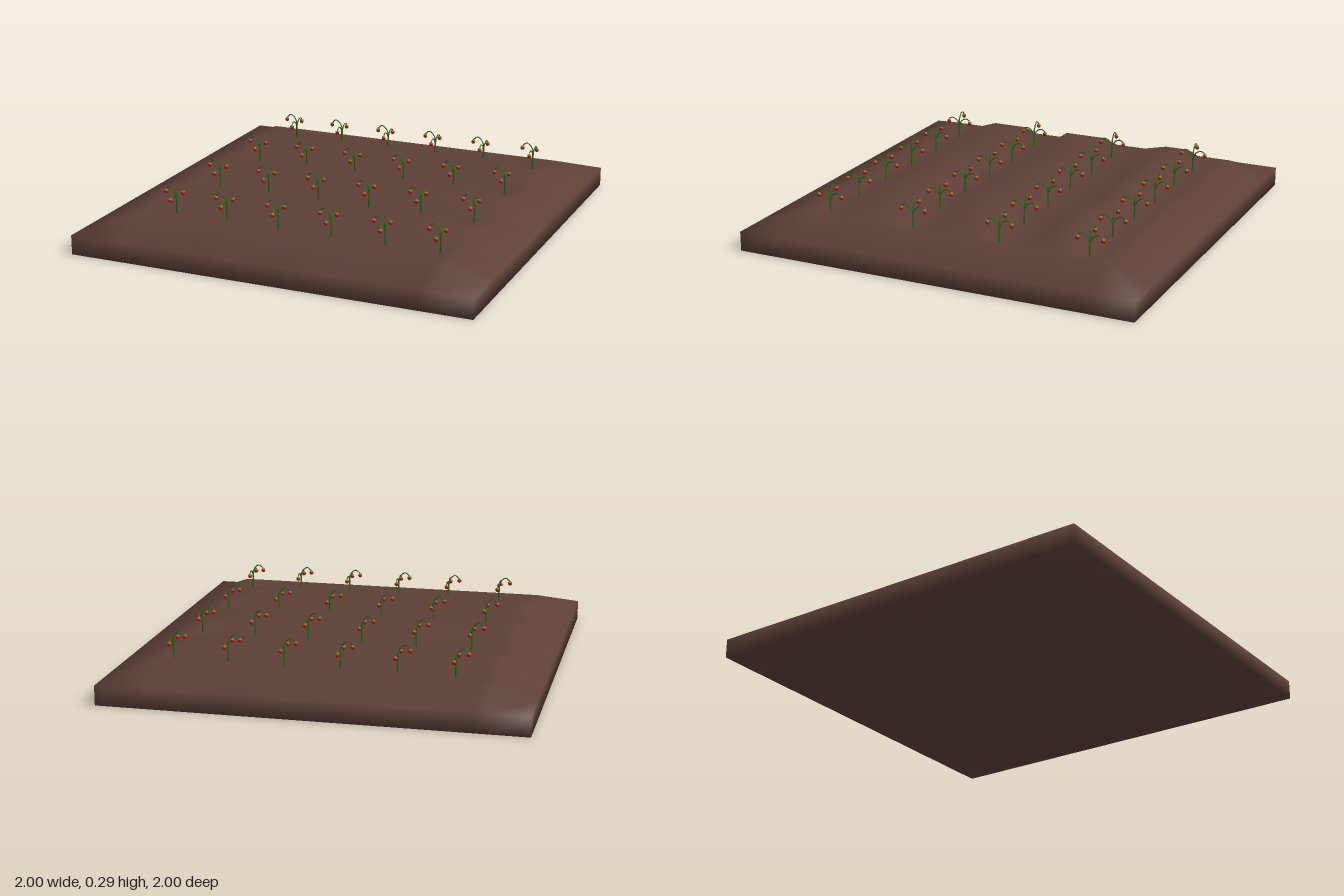
import * as THREE from 'three';
import { mergeVertices } from 'three/addons/utils/BufferGeometryUtils.js';

const mat = (color) => new THREE.MeshStandardMaterial({ color });
const V = (x, y, z) => new THREE.Vector3(x, y, z);

// Grid lines of the soil bed; each ridge is foot, crest, crest, foot
const XS = [-1, -0.8, -0.75, -0.58, -0.35, -0.24, -0.1, 0.1, 0.2, 0.33, 0.58, 0.75, 0.8, 1];
const CREST = [0.09, 0.195, 0.195, 0.197, 0.21, 0.2, 0.205, 0.21, 0.2, 0.21, 0.21, 0.18, 0.17, 0.09];
const RIM = 0.168, FURROW = 0.15, EDGE = 0.095;
const ROWS = [
  [-1, 'edge'], [-0.8, 'rim'], [-0.74, 'foot'],
  [-0.63, 'foot'], [-0.57, 'crest'], [-0.45, 'crest'], [-0.34, 'foot'],
  [-0.16, 'foot'], [-0.11, 'crest'], [0.1, 'crest'], [0.15, 'foot'],
  [0.31, 'foot'], [0.36, 'crest'], [0.55, 'crest'], [0.62, 'foot'],
  [0.74, 'foot'], [0.8, 'rim'], [1, 'edge'],
];

function soilHeight(i, kind) {
  if (kind === 'edge' || i === 0 || i === XS.length - 1) return EDGE;
  if (kind === 'rim') return RIM;
  if (kind === 'crest') return CREST[i];
  return i === 1 || i === XS.length - 2 ? RIM : FURROW;
}

// Soil bed: a box whose vertices are moved onto the ridged grid, smoothly shaded
function soilGeometry() {
  const nx = XS.length - 1, nz = ROWS.length - 1;
  const box = new THREE.BoxGeometry(2, 2, 2, nx, 1, nz);
  box.deleteAttribute('normal');
  box.deleteAttribute('uv');
  const geo = mergeVertices(box);
  const p = geo.attributes.position;
  for (let k = 0; k < p.count; k++) {
    const i = Math.round((p.getX(k) + 1) / 2 * nx);
    const j = Math.round((p.getZ(k) + 1) / 2 * nz);
    const [z, kind] = ROWS[j];
    const x = XS[i];
    const top = p.getY(k) > 0;
    const sway = kind === 'crest' && top ? 0.012 * Math.sin(x * 6 + z * 5) : 0;
    p.setXYZ(k, x, top ? soilHeight(i, kind) : 0, z + sway);
  }
  geo.computeVertexNormals();
  return geo;
}

// Plant parts, shared by every plant
const green = mat(0x33691e), red = mat(0xb71c1c), olive = mat(0x827717);
const tube = (points, r) => new THREE.TubeGeometry(new THREE.CatmullRomCurve3(points), 8, r, 5);
const stemGeo = new THREE.CylinderGeometry(0.004, 0.006, 0.09, 6);
const fruitGeo = new THREE.SphereGeometry(0.011, 8, 6);
const capGeo = new THREE.ConeGeometry(0.0105, 0.008, 6);
const sideGeo = tube([V(0, 0.055, 0), V(0.015, 0.085, 0), V(0.042, 0.098, 0), V(0.062, 0.088, 0)], 0.003);
const tallGeo = tube([V(0, 0.085, 0), V(0.012, 0.11, 0), V(0.035, 0.125, 0), V(0.057, 0.108, 0)], 0.003);

function part(parent, geo, material, name, y = 0, x = 0) {
  const m = new THREE.Mesh(geo, material);
  m.name = name;
  m.position.set(x, y, 0);
  parent.add(m);
}

function makePlant() {
  const plant = new THREE.Group();
  plant.name = 'plant';
  part(plant, stemGeo, green, 'stem', 0.045);
  // Two side branches along z and a taller one towards -x
  [[Math.PI / 2, sideGeo, 0.062, 0.075], [-Math.PI / 2, sideGeo, 0.062, 0.075], [Math.PI, tallGeo, 0.057, 0.097]]
    .forEach(([turn, geo, x, y]) => {
      const branch = new THREE.Group();
      branch.name = 'branch';
      branch.rotation.y = turn;
      part(branch, geo, green, 'twig');
      part(branch, fruitGeo, red, 'fruit', y, x);
      part(branch, capGeo, olive, 'fruitCap', y + 0.01, x);
      plant.add(branch);
    });
  return plant;
}

export function createModel() {
  const model = new THREE.Group();
  model.name = 'gardenBed';
  part(model, soilGeometry(), mat(0x5d4037), 'soilBed');

  // Four furrows of six plants
  const plants = new THREE.Group();
  plants.name = 'plants';
  for (let r = 0; r < 4; r++) {
    for (let c = 0; c < 6; c++) {
      const plant = makePlant();
      plant.position.set(-0.615 + c * 0.268, 0.162, -0.675 + r * 0.447);
      plants.add(plant);
    }
  }
  // Sink the stems slightly into the furrow floor
  plants.position.y = -0.002;
  plants.children.forEach((p) => { p.children[0].scale.y = 1.4; p.children[0].position.y = 0.028; });
  model.add(plants);
  return model;
}
